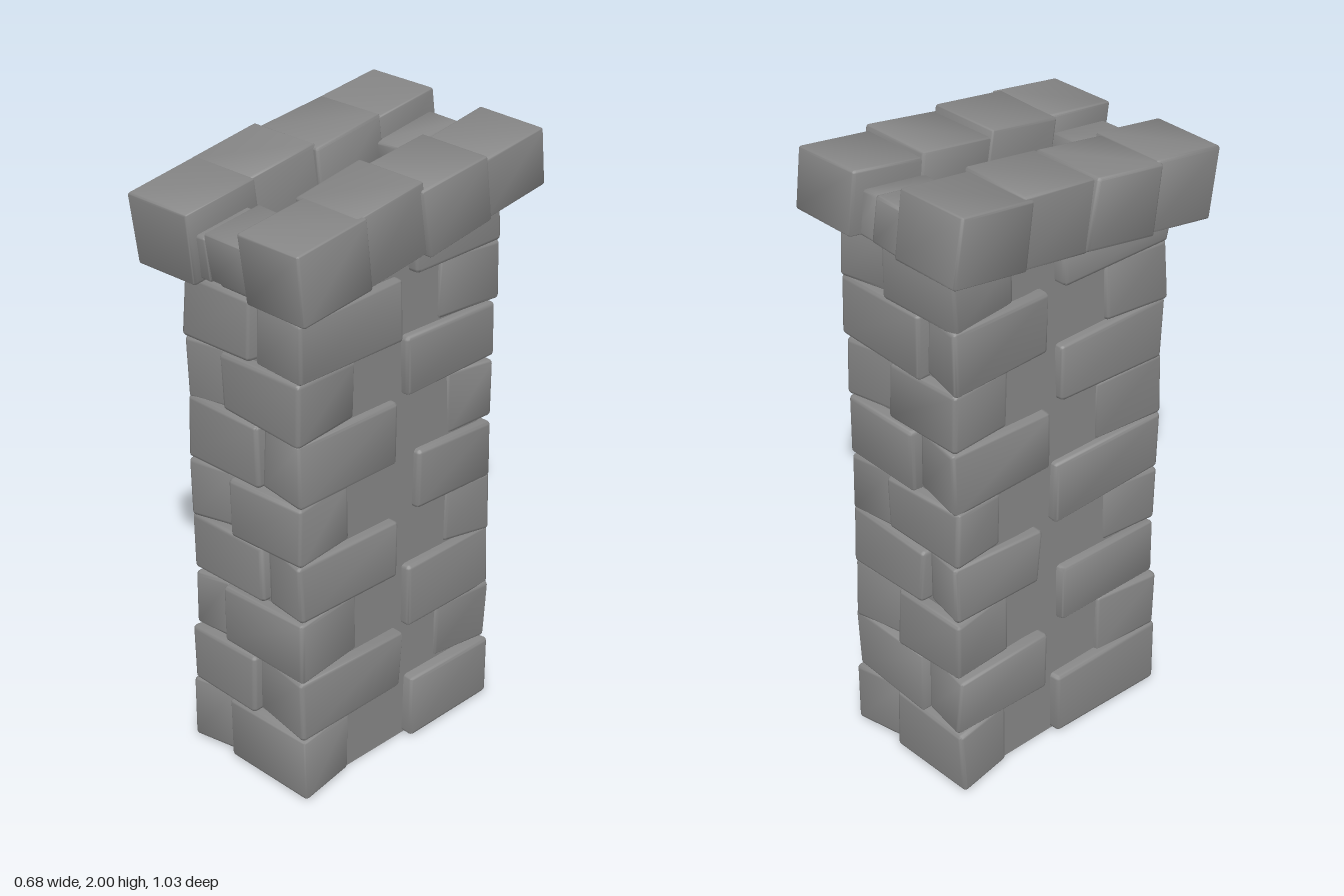
import * as THREE from 'three';
import { toCreasedNormals } from 'three/addons/utils/BufferGeometryUtils.js';
import { RoundedBoxGeometry } from 'three/addons/geometries/RoundedBoxGeometry.js';

const material = new THREE.MeshStandardMaterial({ color: 0x868686 });

// Seeded noise in -1..1
let seed = 7;
function rand() {
  seed = (seed * 16807) % 2147483647;
  return (seed / 2147483647) * 2 - 1;
}

// Rounded stone whose eight corners are nudged by corner(sx, sy, sz) -> [dx, dy, dz]
function stone(name, min, max, radius, corner) {
  const size = max.map((v, i) => v - min[i]);
  const geo = new RoundedBoxGeometry(size[0], size[1], size[2], 2, radius);
  const offsets = {};
  for (const sx of [-1, 1]) for (const sy of [-1, 1]) for (const sz of [-1, 1]) {
    offsets[[sx, sy, sz]] = corner(sx, sy, sz);
  }
  const p = geo.attributes.position;
  for (let i = 0; i < p.count; i++) {
    const v = [p.getX(i), p.getY(i), p.getZ(i)];
    const d = offsets[v.map((c) => (c < 0 ? -1 : 1))];
    p.setXYZ(i, v[0] + d[0], v[1] + d[1], v[2] + d[2]);
  }
  const mesh = new THREE.Mesh(toCreasedNormals(geo, 0.9), material);
  mesh.name = name;
  mesh.position.set(...max.map((v, i) => (v + min[i]) / 2));
  return mesh;
}

const CX = -0.028, CZ = -0.04;
const SLOPE = 0.13; // rise of the shaft top towards the back
const levels = [0.004, 0.22, 0.425, 0.63, 0.825, 1.02, 1.225, 1.42, 1.62, 1.735];

// Joint positions per course: front and back along x, sides along z
const frontSplit = [-0.115, 0, -0.13, 0.04, -0.09, 0.03, -0.12, 0.005, -0.11];
const backSplit = [0.03, -0.1, 0.01, -0.11, 0.04, -0.08, 0.02, -0.12, 0.03];
const leftFront = [0.16, -0.06, 0.12, -0.04, 0.15, -0.04, 0.13, -0.05, 0.18];
const leftBack = [-0.1, -0.24, -0.08, -0.27, -0.13, -0.27, -0.07, -0.22, -0.09];
const rightFront = [-0.05, 0.14, -0.03, 0.16, -0.06, 0.12, -0.04, 0.15, -0.05];
const rightBack = [-0.25, -0.09, -0.23, -0.12, -0.26, -0.08, -0.24, -0.1, -0.22];

function cornerStone(course, sx, sz) {
  const y0 = levels[course], y1 = levels[course + 1];
  const waist = 0.014 * ((y0 - 0.85) / 0.85) ** 2;
  const outX = CX + sx * (0.235 + waist), outZ = CZ + sz * (0.413 + waist * 0.2);
  const inX = (sz > 0 ? frontSplit : backSplit)[course];
  const inZ = (sx > 0 ? (sz > 0 ? leftFront : leftBack) : (sz > 0 ? rightFront : rightBack))[course];
  // Stones alternate: long along x on one course, long along z on the next
  const longX = (course % 2 === 0) === (sx * sz > 0);
  const min = [Math.min(outX, inX), y0, Math.min(outZ, inZ)];
  const max = [Math.max(outX, inX), y1, Math.max(outZ, inZ)];
  return stone('cornerStone', min, max, 0.014, (vx, vy, vz) => {
    const d = [rand() * 0.006, course === 0 && vy < 0 ? 0 : rand() * 0.008, rand() * 0.006];
    // The short face sinks inward towards its tail
    if (!longX && vx !== sx && vz === sz) d[2] -= sz * 0.026;
    if (longX && vz !== sz && vx === sx) d[0] -= sx * 0.024;
    // The last course follows the sloping top
    if (course === 8 && vy > 0) d[1] -= SLOPE * (vz === sz ? outZ : inZ);
    return d;
  });
}

// Plain inner wall and flat base, with the top sloping up to the back
function core() {
  const geo = new THREE.BoxGeometry(0.415, 1.75, 0.755);
  const p = geo.attributes.position;
  for (let i = 0; i < p.count; i++) {
    p.setY(i, p.getY(i) > 0 ? 1.755 - SLOPE * (p.getZ(i) + CZ) : 0);
  }
  geo.computeVertexNormals();
  const mesh = new THREE.Mesh(geo, material);
  mesh.name = 'core';
  mesh.position.set(CX, 0, CZ);
  return mesh;
}

// Coping stone, tilted so that it rises to the back
function copingStone(name, x0, x1, z, y, length, height) {
  const w = (x1 - x0) / 2;
  const mesh = stone(name, [-w, -height / 2, -length / 2], [w, height / 2, length / 2], 0.009,
    () => [rand() * 0.004, rand() * 0.003, rand() * 0.003]);
  mesh.position.set((x0 + x1) / 2, y, z);
  mesh.rotation.x = 0.14;
  return mesh;
}

export function createModel() {
  const model = new THREE.Group();
  model.name = 'stoneChimney';
  model.add(core());

  // Shaft courses
  const shaft = new THREE.Group();
  shaft.name = 'shaft';
  for (let c = 0; c < 9; c++) {
    for (const sx of [-1, 1]) for (const sz of [-1, 1]) shaft.add(cornerStone(c, sx, sz));
  }
  model.add(shaft);

  // Two rows of coping stones: x0, x1, z, y, height
  const coping = new THREE.Group();
  coping.name = 'coping';
  const rows = [
    [-0.325, -0.08, 0.37, 1.797, 0.225], [-0.337, -0.092, 0.125, 1.831, 0.22],
    [-0.325, -0.078, -0.125, 1.857, 0.22], [-0.33, -0.086, -0.362, 1.885, 0.206],
    [0.1, 0.335, 0.352, 1.795, 0.222], [0.08, 0.323, 0.115, 1.829, 0.222],
    [0.085, 0.335, -0.13, 1.849, 0.205], [0.09, 0.325, -0.372, 1.876, 0.19],
  ];
  for (const [x0, x1, z, y, h] of rows) {
    coping.add(copingStone('copingStone', x0, x1, z, y, 0.262, h));
  }

  // Small stones closing the front and back of the flue
  coping.add(copingStone('frontFlueStone', -0.055, 0.11, 0.36, 1.775, 0.21, 0.145));
  coping.add(copingStone('frontFlueSliver', -0.11, -0.045, 0.37, 1.768, 0.2, 0.135));
  coping.add(copingStone('backFlueStone', -0.1, 0.03, -0.36, 1.85, 0.235, 0.14));
  coping.add(copingStone('backFlueStone', 0.022, 0.11, -0.355, 1.845, 0.225, 0.135));
  model.add(coping);
  return model;
}
